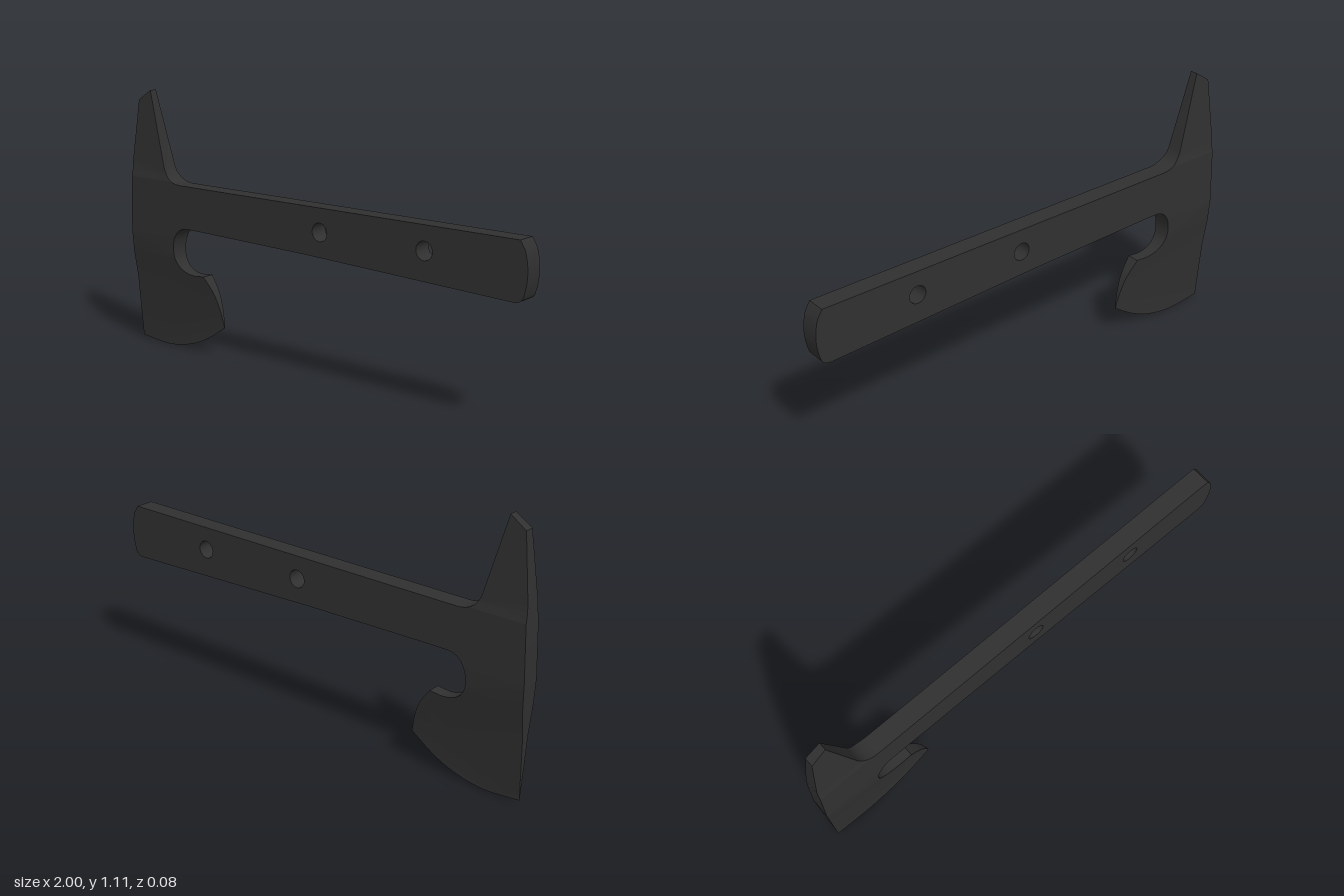
import * as THREE from 'three';
import { toCreasedNormals } from 'three/addons/utils/BufferGeometryUtils.js';

const V = (x, y) => new THREE.Vector2(x, y);

// Side profile of the whole one-piece axe, anticlockwise
function outline() {
  const s = new THREE.Shape();
  s.moveTo(-0.985, 0.012);
  s.splineThru([V(-0.9, 0.003), V(-0.81, 0), V(-0.7, 0.02), V(-0.6, 0.06), V(-0.49, 0.13)]); // cutting edge
  s.splineThru([V(-0.505, 0.2), V(-0.535, 0.275), V(-0.585, 0.342)]); // beard
  s.lineTo(-0.635, 0.337);
  s.bezierCurveTo(-0.7, 0.337, -0.75, 0.37, -0.75, 0.435); // finger notch
  s.bezierCurveTo(-0.75, 0.495, -0.72, 0.537, -0.665, 0.537);
  s.lineTo(-0.6, 0.537);
  s.lineTo(0, 0.526);
  s.lineTo(0.945, 0.496);
  s.quadraticCurveTo(0.98, 0.498, 0.986, 0.525); // butt
  s.quadraticCurveTo(1.012, 0.61, 0.986, 0.69);
  s.lineTo(0.965, 0.724);
  s.lineTo(-0.7, 0.72);
  s.bezierCurveTo(-0.76, 0.72, -0.79, 0.75, -0.803, 0.795); // spike root
  s.lineTo(-0.89, 1.105);
  s.lineTo(-0.958, 1.06);
  s.lineTo(-0.99, 0.8);
  s.lineTo(-1, 0.5);
  return s.getPoints(10);
}

// Keep the side of the profile where sign * (y - cut) >= 0
function clip(points, cut, sign) {
  const out = [];
  points.forEach((a, i) => {
    const b = points[(i + 1) % points.length];
    const da = sign * (a.y - cut), db = sign * (b.y - cut);
    if (da >= 0) out.push(a);
    if ((da > 0 && db < 0) || (da < 0 && db > 0)) {
      const p = a.clone().lerp(b, da / (da - db));
      p.y = cut;
      out.push(p);
    }
  });
  return out;
}

// Half thickness at each height: [y, half thickness]
const LEVELS = [[0.131, 0.0008], [0.28, 0.018], [0.4, 0.035], [0.49, 0.04],
  [0.73, 0.04], [0.762, 0.034], [1.11, 0.016]];
function halfThickness(y) {
  if (y <= LEVELS[0][0]) return LEVELS[0][1];
  const i = Math.max(1, LEVELS.findIndex(l => y <= l[0]));
  const [y0, t0] = LEVELS[i - 1], [y1, t1] = LEVELS[i];
  return THREE.MathUtils.lerp(t0, t1, (y - y0) / (y1 - y0));
}

// Both faces and the outer walls of horizontal bands, open at the seams
function bandsGeometry(cuts, holes = []) {
  const pos = [];
  const put = (p, side) => pos.push(p.x, p.y, side * halfThickness(p.y));
  for (let k = 0; k + 1 < cuts.length; k++) {
    const lo = cuts[k], hi = cuts[k + 1];
    const ring = clip(clip(outline(), lo, 1), hi, -1);
    const all = [ring, ...holes].flat();
    for (const [a, b, c] of THREE.ShapeUtils.triangulateShape(ring, holes)) {
      [a, b, c].forEach(i => put(all[i], 1));
      [a, c, b].forEach(i => put(all[i], -1));
    }
    for (const loop of [ring, ...holes]) {
      loop.forEach((a, i) => {
        const b = loop[(i + 1) % loop.length];
        if (a.y === b.y && (a.y === lo || a.y === hi)) return;
        put(a, 1); put(a, -1); put(b, -1);
        put(a, 1); put(b, -1); put(b, 1);
      });
    }
  }
  const g = new THREE.BufferGeometry();
  g.setAttribute('position', new THREE.Float32BufferAttribute(pos, 3));
  return toCreasedNormals(g, 0.5);
}

// Clockwise ring for a lanyard hole
function hole(x, y, r) {
  return Array.from({ length: 24 }, (_, i) => {
    const a = -i / 24 * Math.PI * 2;
    return V(x + r * Math.cos(a), y + r * Math.sin(a));
  });
}

export function createModel() {
  const group = new THREE.Group();
  group.name = 'axe';
  const steel = new THREE.MeshStandardMaterial({ color: 0x303030 });
  steel.name = 'dark steel';
  const add = (name, geometry) => {
    const mesh = new THREE.Mesh(geometry, steel);
    mesh.name = name;
    group.add(mesh);
  };
  add('blade', bandsGeometry([-1, 0.28, 0.4, 0.49]));
  add('handle', bandsGeometry([0.49, 0.73], [hole(0.06, 0.625, 0.037), hole(0.557, 0.625, 0.037)]));
  add('spike', bandsGeometry([0.73, 0.762, 2]));
  return group;
}
